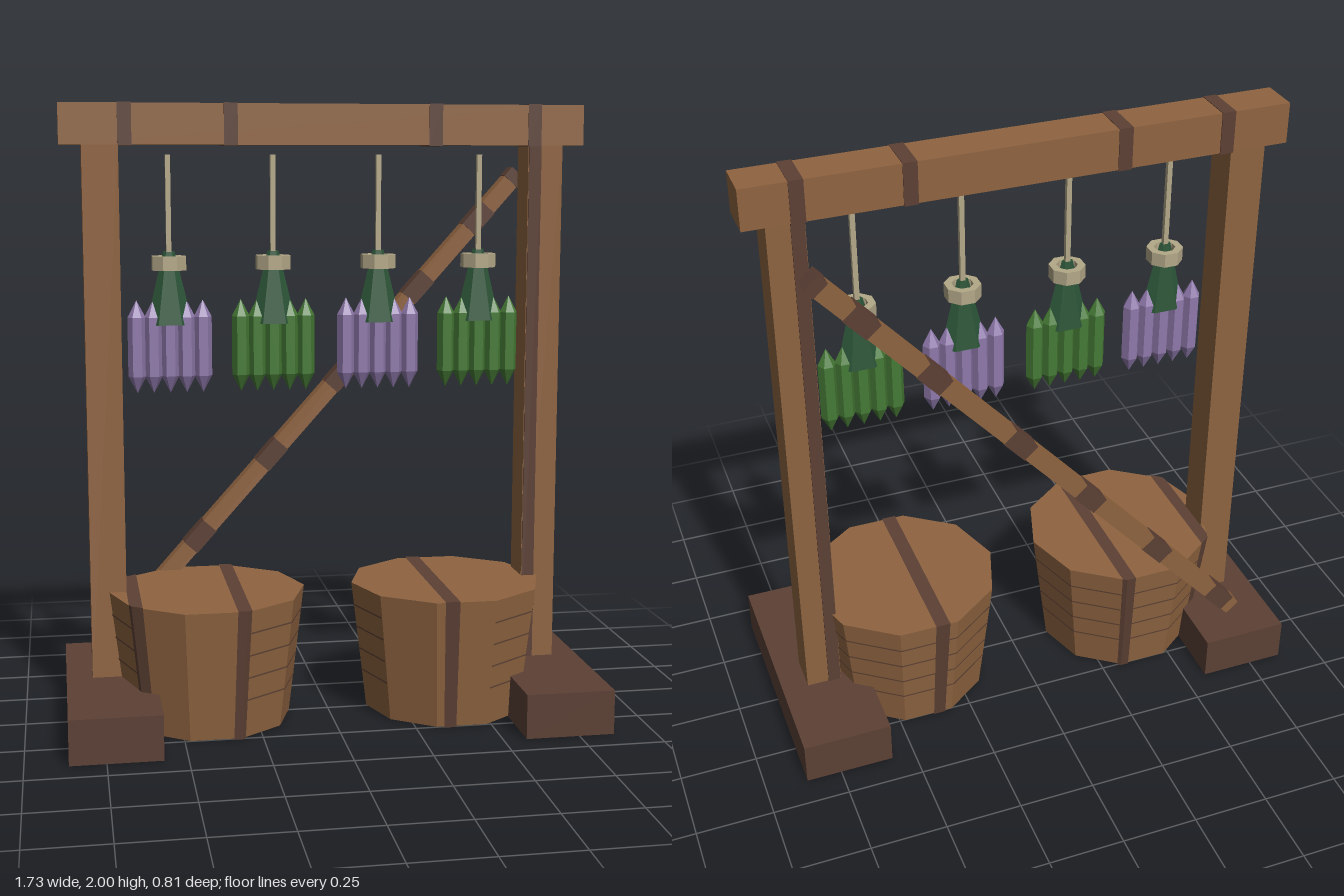
import * as THREE from 'three';

const mat = (name, color) => {
  const m = new THREE.MeshStandardMaterial({ color, flatShading: true });
  m.name = name;
  return m;
};

export function createModel() {
  const model = new THREE.Group();
  model.name = 'herbDryingRack';
  const wood = mat('wood', 0x8f6440);
  const dark = mat('darkWood', 0x5c4034);
  const purple = mat('purpleFlower', 0x8f79ab);
  const green = mat('greenLeaf', 0x457a35);
  const stem = mat('stemGreen', 0x2c5538);
  const rope = mat('rope', 0xb3a888);

  const add = (parent, name, geo, m, x = 0, y = 0, z = 0) => {
    const mesh = new THREE.Mesh(geo, m);
    mesh.name = name;
    mesh.position.set(x, y, z);
    parent.add(mesh);
    return mesh;
  };
  // box given by its limits on each axis
  const block = (parent, name, m, x0, x1, y0, y1, z0, z1) =>
    add(parent, name, new THREE.BoxGeometry(x1 - x0, y1 - y0, z1 - z0), m,
      (x0 + x1) / 2, (y0 + y1) / 2, (z0 + z1) / 2);

  // frame: feet, posts and top beam
  for (const s of [-1, 1]) {
    add(model, 'foot', new THREE.BoxGeometry(0.29, 0.145, 0.81), dark, s * 0.72, 0.0725, 0);
    add(model, 'post', new THREE.BoxGeometry(0.115, 1.73, 0.122), wood, s * 0.7225, 1.008, -0.062);
  }
  block(model, 'postGrain', dark, 0.667, 0.708, 0.145, 1.87, -0.127, 0.003);
  block(model, 'beam', wood, -0.85, 0.85, 1.87, 2, -0.13, 0);
  for (const x of [-0.645, -0.31, 0.355, 0.685])
    block(model, 'beamGrain', dark, x - 0.022, x + 0.022, 1.867, 2.002, -0.133, 0.003);

  // diagonal brace behind the frame, with dark bands
  const brace = new THREE.Group();
  brace.name = 'brace';
  brace.position.set(0, 0.99, -0.292);
  brace.rotation.z = 0.84;
  model.add(brace);
  add(brace, 'braceBar', new THREE.BoxGeometry(2.12, 0.056, 0.056), wood);
  for (const x of [-0.65, -0.4, -0.15, 0.09, 0.36, 0.57])
    add(brace, 'braceGrain', new THREE.BoxGeometry(0.1, 0.061, 0.061), dark, x / 0.668);
  add(brace, 'braceGrain', new THREE.BoxGeometry(0.04, 0.061, 0.061), dark, 1.041);

  // ten-sided tubs
  const RT = 0.32, RB = 0.268, H = 0.43;
  const corners = [[0, 0.951], [0.309, 0.951], [0.809, 0.588], [1, 0]];
  const halfDepth = (u) => {
    const a = Math.abs(u);
    const i = a < 0.309 ? 0 : a < 0.809 ? 1 : 2;
    const [p, q] = [corners[i], corners[i + 1]];
    return p[1] + (q[1] - p[1]) * (a - p[0]) / (q[0] - p[0]);
  };
  // thin stripe running around a tub: front, bottom, back and lid
  const tubStripe = (us) => {
    const pos = [], idx = [];
    for (const u of us) {
      const z = halfDepth(u) * 1.012;
      pos.push(u * RT, H + 0.003, z * RT, u * RB, 0, z * RB,
        u * RB, 0, -z * RB, u * RT, H + 0.003, -z * RT);
    }
    for (let c = 0; c < us.length - 1; c++)
      for (let k = 0; k < 4; k++) {
        const a = c * 4 + k, b = c * 4 + (k + 1) % 4;
        idx.push(a, b, b + 4, a, b + 4, a + 4);
      }
    const g = new THREE.BufferGeometry();
    g.setAttribute('position', new THREE.Float32BufferAttribute(pos, 3));
    g.setIndex(idx);
    const flat = g.toNonIndexed();
    flat.computeVertexNormals();
    return flat;
  };
  const turn = Math.PI / 10;
  const makeTub = (x, stripes) => {
    const tub = new THREE.Group();
    tub.name = 'tub';
    tub.position.x = x;
    model.add(tub);
    add(tub, 'tubBody', new THREE.CylinderGeometry(RT, RB, H - 0.003, 10, 1, false, turn), wood, 0, H / 2 + 0.0015);
    for (const us of stripes) add(tub, 'tubGrain', tubStripe(us), dark);
    // fine seams on the side and back faces
    for (const y of [0.13, 0.205, 0.28, 0.355]) {
      const r = RB + (RT - RB) * y / H + 0.002;
      add(tub, 'tubSeam', new THREE.CylinderGeometry(r, r, 0.005, 8, 1, true, turn, Math.PI * 1.6), dark, 0, y);
    }
  };
  makeTub(-0.4, [[0.21, 0.309, 0.35], [-0.83, -0.809, -0.7]]);
  makeTub(0.4, [[-0.22, -0.07]]);

  // hanging bundles: rope, collar, stems and a row of pointed buds
  const budProfile = [[0, 1.08], [0.029, 1.135], [0.029, 1.325], [0, 1.38]].map(([r, y]) => new THREE.Vector2(r, y));
  const budGeo = new THREE.LatheGeometry(budProfile, 6, Math.PI / 6);
  const collarProfile = [[0.034, 1.475], [0.058, 1.475], [0.058, 1.52], [0.034, 1.52], [0.034, 1.475]]
    .map(([r, y]) => new THREE.Vector2(r, y));
  const collarGeo = new THREE.LatheGeometry(collarProfile, 8, Math.PI / 8);
  const stemGeo = new THREE.CylinderGeometry(0.018, 0.075, 0.235, 6, 1, false, Math.PI / 6);
  [-0.51, -0.175, 0.17, 0.505].forEach((x, i) => {
    const bundle = new THREE.Group();
    bundle.name = 'herbBundle';
    bundle.position.set(x, 0, -0.022);
    model.add(bundle);
    add(bundle, 'hangingRope', new THREE.BoxGeometry(0.016, 0.34, 0.016), rope, 0, 1.67);
    add(bundle, 'collar', collarGeo, rope);
    add(bundle, 'stems', stemGeo, stem, 0, 1.4175).scale.z = 0.5;
    for (let k = -2; k <= 2; k++)
      add(bundle, 'bud', budGeo, i % 2 ? green : purple, k * 0.053);
  });
  return model;
}
